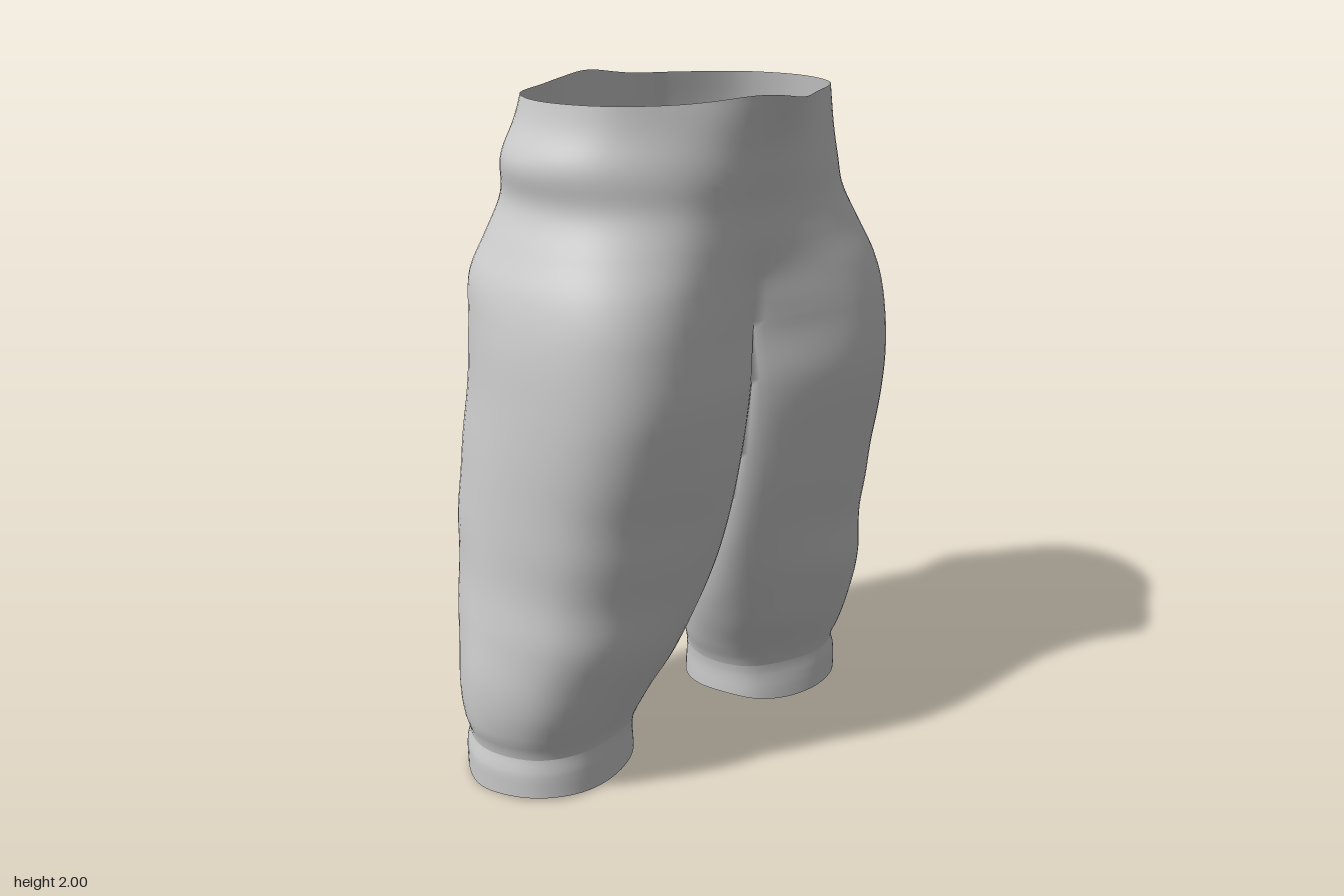
import * as THREE from 'three';
import { mergeVertices } from 'three/addons/utils/BufferGeometryUtils.js';

const CROTCH = 1.38, CUFF = 0.13, TOP = 1.98;

// Outline of one half: y, outer x, front z, back z
const OUTLINE = [
  [0.02, 0.69, 0.13, -0.33], [0.09, 0.69, 0.125, -0.325], [CUFF, 0.68, 0.12, -0.32],
  [0.2, 0.7, 0.145, -0.33], [0.35, 0.71, 0.21, -0.355], [0.5, 0.695, 0.255, -0.385],
  [0.65, 0.678, 0.28, -0.408], [0.8, 0.67, 0.31, -0.415], [1.0, 0.66, 0.355, -0.4],
  [1.2, 0.645, 0.388, -0.375], [CROTCH, 0.63, 0.38, -0.375], [1.5, 0.605, 0.36, -0.4],
  [1.6, 0.56, 0.335, -0.385], [1.7, 0.515, 0.315, -0.37], [1.78, 0.502, 0.31, -0.355],
  [1.88, 0.485, 0.3, -0.335], [TOP, 0.467, 0.295, -0.31],
];

// Inner side of one half: y, front seam x z, inner (back seam above the crotch) x z, inner back x z
const INNER = [
  [0.02, 0.25, 0.065, 0.18, -0.1, 0.25, -0.265], [CUFF, 0.245, 0.06, 0.175, -0.1, 0.25, -0.258],
  [0.2, 0.22, 0.08, 0.145, -0.09, 0.24, -0.26], [0.35, 0.165, 0.145, 0.09, -0.04, 0.22, -0.265],
  [0.5, 0.11, 0.19, 0.05, 0.02, 0.205, -0.265], [0.65, 0.065, 0.225, 0.025, 0.06, 0.195, -0.26],
  [0.8, 0.045, 0.26, 0.012, 0.09, 0.185, -0.25], [1.0, 0.03, 0.295, 0.008, 0.12, 0.17, -0.245],
  [1.2, 0.018, 0.315, 0.005, 0.15, 0.14, -0.25], [CROTCH, 0, 0.305, 0, 0.18, 0.105, -0.275],
  [1.44, 0, 0.31, 0, 0.06, 0.095, -0.3], [1.5, 0, 0.315, 0, -0.08, 0.09, -0.33],
  [1.6, 0, 0.33, 0, -0.29, 0.1, -0.365], [1.7, 0, 0.335, 0, -0.41, 0.12, -0.39],
  [1.78, 0, 0.35, 0, -0.405, 0.13, -0.38], [1.88, 0, 0.37, 0, -0.375, 0.13, -0.36],
  [TOP, 0, 0.415, 0, -0.36, 0.13, -0.342],
];

const { lerp, smoothstep } = THREE.MathUtils;
const smoothTable = (table) => new THREE.CubicInterpolant(
  table.map((r) => r[0]), table.flatMap((r) => r.slice(1)), table[0].length - 1,
  new Float32Array(table[0].length - 1));
const outlineAt = smoothTable(OUTLINE), innerAt = smoothTable(INNER);

// One row of points: closed ring for a leg, or outer arc from front seam to back seam
function row(y, closed, side) {
  const [outer, zf, zb] = outlineAt.evaluate(y);
  const [fx, fz, ix, iz, bx, bz] = innerAt.evaluate(y);
  // a loose bulge of cloth below the waist on the right hip
  const xo = outer + (side < 0 ? 0.03 * Math.exp(-(((y - 1.82) / 0.07) ** 2)) : 0);
  const waist = smoothstep(y, 1.4, 1.85);
  const cx = (ix + xo) / 2, w = (xo - ix) / 2, mx = cx + 0.03 * (1 - waist);
  const cz = (zf + zb) / 2, d = (zf - zb) / 2, k = lerp(0.73, 0.6, waist);
  const v = (x, z) => new THREE.Vector3(x, y, z);
  const ring = [
    v(fx, fz), v(mx, zf), v(cx + 0.73 * w, cz + k * d), v(xo, cz),
    v(cx + 0.73 * w, cz - k * d), v(mx, zb), v(bx, bz), v(ix, iz),
  ];
  // above the crotch the neighbours across the seam become mirror images
  if (!closed) {
    const u = smoothstep(y, CROTCH, 1.68);
    ring.push(v(lerp(0, -bx, u), lerp(fz, bz, u)), v(lerp(0, -mx, u), lerp(fz - 0.125, zf, u)));
  }
  const curve = new THREE.CatmullRomCurve3(ring, true, 'catmullrom', 0.5);
  const steps = closed ? 64 : 56;
  const points = [];
  for (let j = 0; j <= steps; j++) {
    const p = curve.getPoint(j / 8 / ring.length);
    if (!closed && (j === 0 || j === steps)) p.x = 0;
    p.x = Math.max(p.x, 0) * side;
    // faint cloth folds, fading out at the seams, hems and hips
    const fade = smoothstep(y, 0.15, 0.3) * (1 - smoothstep(y, 0.8, 1.2))
      * smoothstep(Math.abs(p.x), 0.05, 0.3);
    p.z += 0.003 * fade * Math.sin(22 * y + 6 * p.x) * Math.sign(p.z - cz);
    // waist edge rises at the middle of front and back
    p.y += 0.022 * smoothstep(y, 1.88, TOP) * Math.exp(-(((p.x + 0.06) / 0.12) ** 2));
    points.push(p);
  }
  return points;
}

// Skin rows between two heights, for one side
function skin(positions, index, y0, y1, count, closed, side) {
  const base = positions.length / 3;
  let n = 0;
  for (let i = 0; i <= count; i++) {
    const points = row(lerp(y0, y1, i / count), closed, side);
    n = points.length;
    points.forEach((p) => positions.push(p.x, p.y, p.z));
  }
  for (let i = 0; i < count; i++) {
    for (let j = 0; j < n - 1; j++) {
      const a = base + i * n + j, b = a + 1, c = b + n, e = a + n;
      if (side > 0) index.push(a, b, c, a, c, e);
      else index.push(a, c, b, a, e, c);
    }
  }
}

function toMesh(name, positions, index, material) {
  let g = new THREE.BufferGeometry();
  g.setAttribute('position', new THREE.Float32BufferAttribute(positions, 3));
  g.setIndex(index);
  g = mergeVertices(g, 1e-4);
  g.computeVertexNormals();
  const mesh = new THREE.Mesh(g, material);
  mesh.name = name;
  return mesh;
}

export function createModel() {
  const group = new THREE.Group();
  group.name = 'trousers';
  const cloth = new THREE.MeshStandardMaterial({ color: 0xcccccc, side: THREE.DoubleSide });

  // legs and seat, joined along the centre seam
  const positions = [], index = [];
  for (const side of [1, -1]) {
    skin(positions, index, CUFF, CROTCH, 60, true, side);
    skin(positions, index, CROTCH, TOP, 40, false, side);
  }
  group.add(toMesh('legsAndSeat', positions, index, cloth));

  // gathered cuffs, with a slightly uneven hem
  for (const side of [1, -1]) {
    const cuffPositions = [], cuffIndex = [];
    skin(cuffPositions, cuffIndex, 0.02, CUFF, 6, true, side);
    for (let i = 0; i < cuffPositions.length; i += 3) {
      const [x, y, z] = cuffPositions.slice(i, i + 3);
      if (y < 0.03) cuffPositions[i + 1] = 0.011 + 0.011 * Math.sin(9 * Math.abs(x) + 11 * z);
    }
    group.add(toMesh(side > 0 ? 'leftCuff' : 'rightCuff', cuffPositions, cuffIndex, cloth));
  }
  return group;
}
